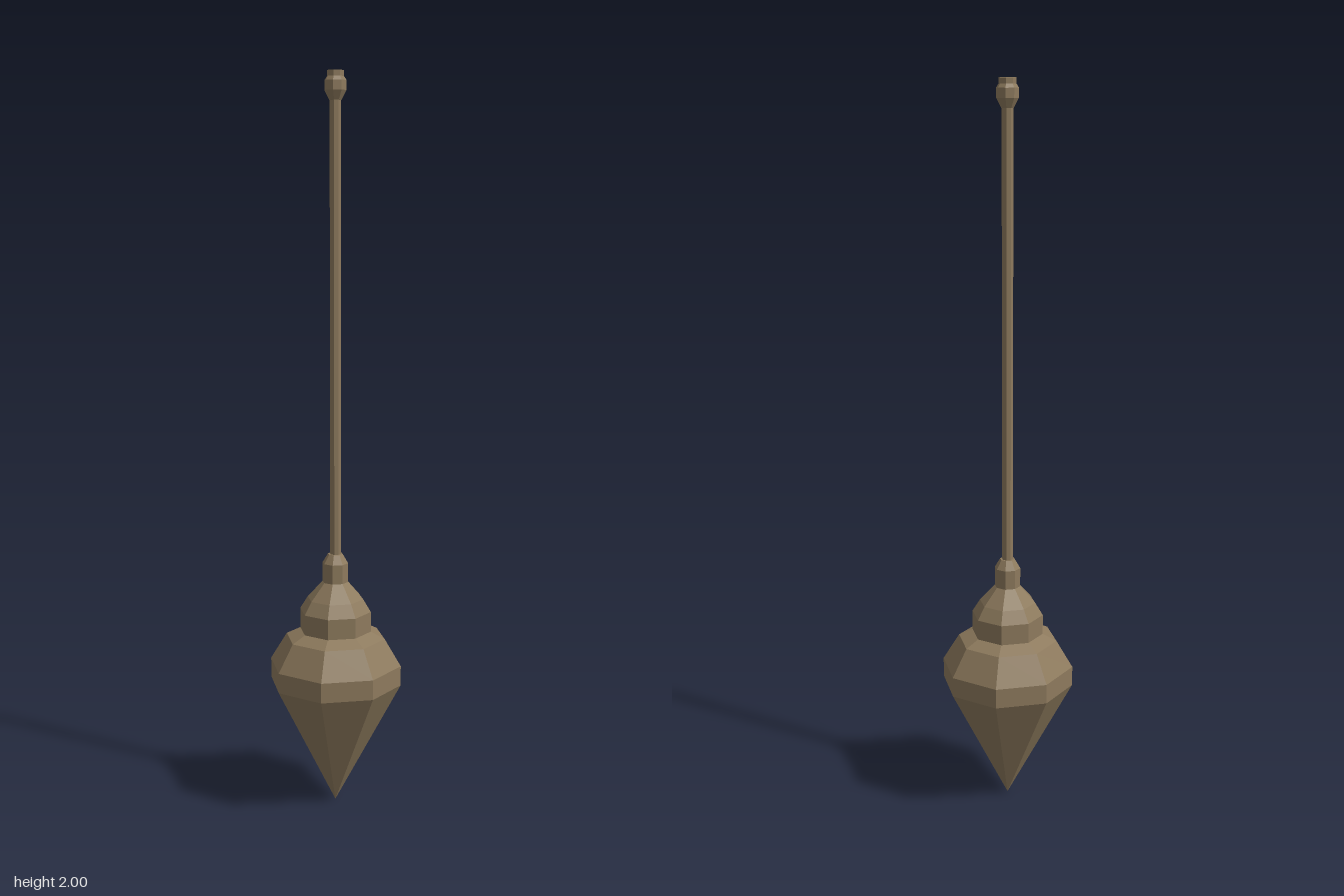
import * as THREE from 'three';

const SIDES = 8;
const FLAT = 1 / Math.cos(Math.PI / SIDES); // flat-to-flat radius -> corner radius

export function createModel() {
  const group = new THREE.Group();
  const bronze = new THREE.MeshStandardMaterial({ color: 0x8d7a5d, flatShading: true });
  bronze.name = 'bronze';

  // Octagonal turned part from [flat radius, height] pairs, bottom to top
  const turned = (name, profile) => {
    const points = profile.map(([r, y]) => new THREE.Vector2(r * FLAT, y));
    const mesh = new THREE.Mesh(new THREE.LatheGeometry(points, SIDES, Math.PI / SIDES), bronze);
    mesh.name = name;
    group.add(mesh);
  };

  // Pointed weight with sloping shoulder
  turned('pointedBob', [[0, 0], [0.17, 0.35], [0.17, 0.405], [0.128, 0.48], [0.09, 0.5], [0, 0.5]]);
  // Stepped dome above the weight
  turned('dome', [[0.092, 0.498], [0.092, 0.555], [0.072, 0.59], [0.032, 0.638], [0, 0.638]]);
  // Collar holding the rod
  turned('collar', [[0, 0.636], [0.033, 0.636], [0.033, 0.69], [0.019, 0.715], [0, 0.715]]);
  // Long slender rod
  turned('rod', [[0.014, 0.7], [0.014, 1.94]]);
  // Small cap at the tip
  turned('topCap', [[0, 1.925], [0.015, 1.925], [0.027, 1.95], [0.027, 1.975], [0.021, 1.985], [0.021, 2], [0, 2]]);

  return group;
}
